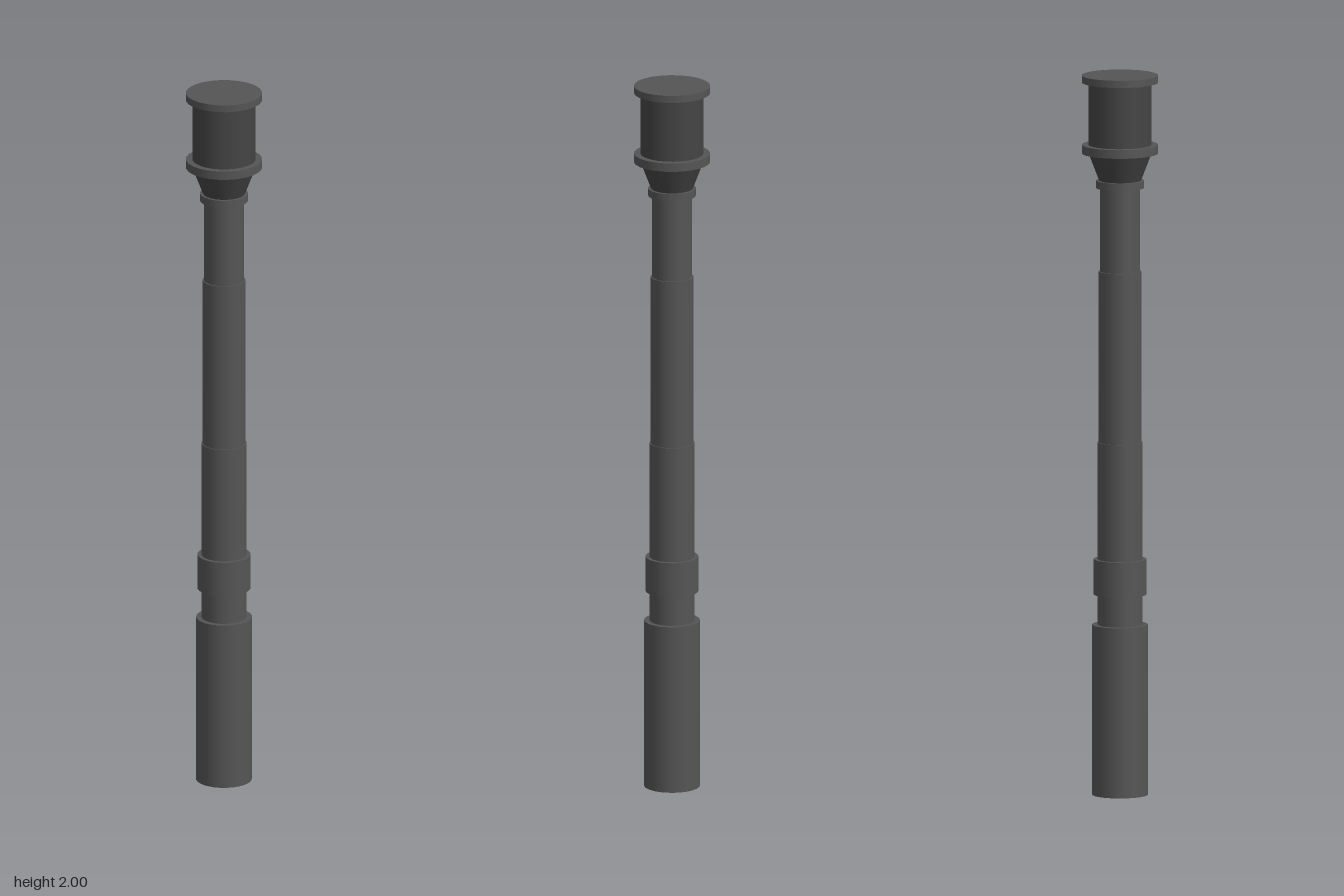
import * as THREE from 'three';

const SIDES = 24;
const grey = new THREE.MeshStandardMaterial({ color: 0x555555 });
const dark = new THREE.MeshStandardMaterial({ color: 0x444444 });

// One turned section between two heights
function section(name, y0, y1, rBottom, rTop = rBottom, material = grey) {
  const geometry = new THREE.CylinderGeometry(rTop, rBottom, y1 - y0, SIDES);
  const mesh = new THREE.Mesh(geometry, material);
  mesh.name = name;
  mesh.position.y = (y0 + y1) / 2;
  return mesh;
}

export function createModel() {
  const model = new THREE.Group();
  model.name = 'steppedRod';
  model.add(
    // Grip and neck
    section('grip', 0, 0.473, 0.077),
    section('neck', 0.473, 0.557, 0.062),
    section('gripRing', 0.557, 0.655, 0.073),
    // Shaft, stepping in towards the head
    section('lowerShaft', 0.655, 0.98, 0.062),
    section('middleShaft', 0.98, 1.455, 0.059),
    section('upperShaft', 1.455, 1.687, 0.055),
    section('shaftCollar', 1.687, 1.708, 0.066),
    // Head
    section('headCone', 1.708, 1.783, 0.058, 0.087, dark),
    section('lowerFlange', 1.783, 1.807, 0.105),
    section('headDrum', 1.807, 1.98, 0.087, 0.087, dark),
    section('topFlange', 1.98, 2, 0.105)
  );
  return model;
}
